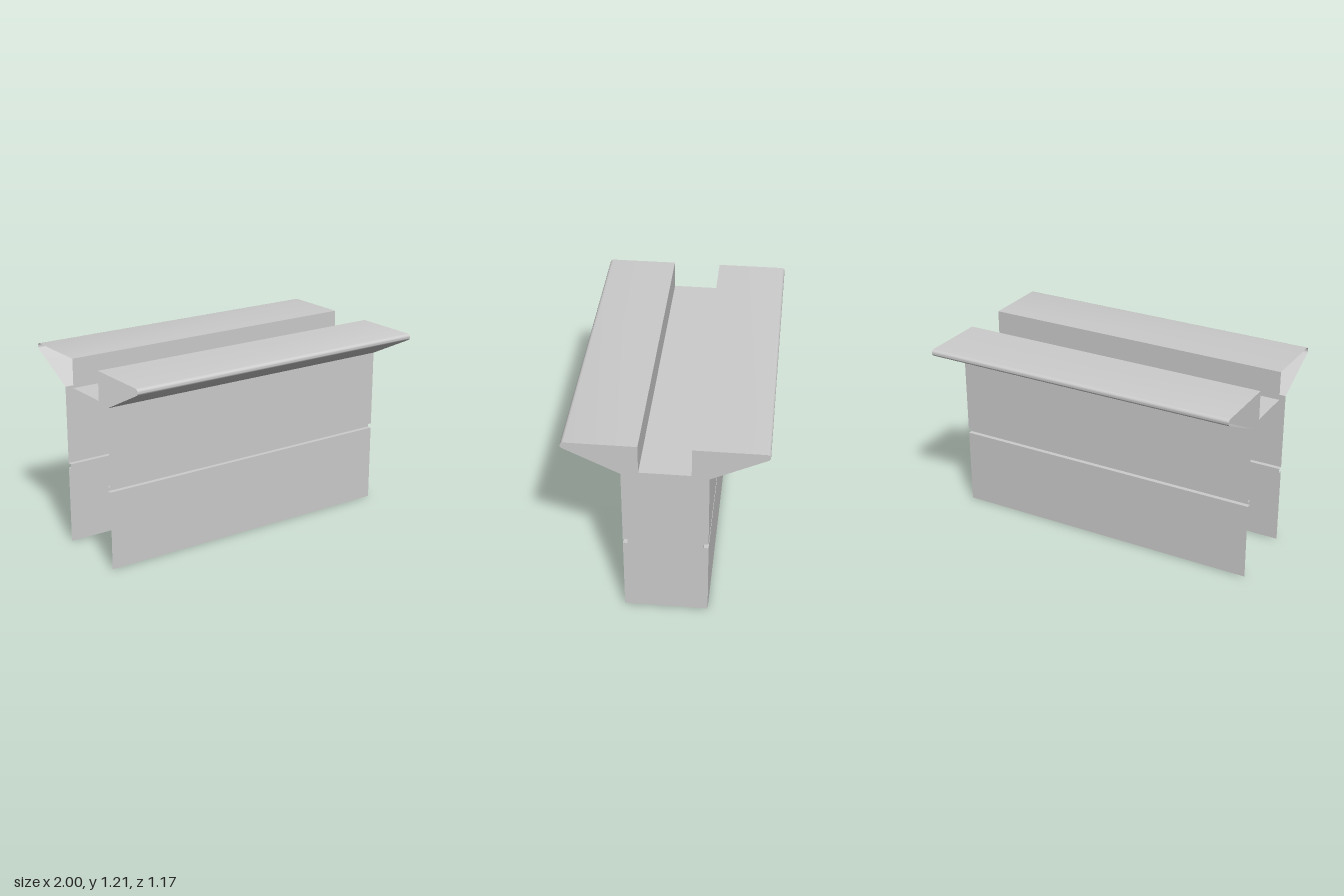
import * as THREE from 'three';
import { toCreasedNormals } from 'three/addons/utils/BufferGeometryUtils.js';

const material = new THREE.MeshStandardMaterial({ color: 0xcccccc, side: THREE.DoubleSide });
const HALF_LENGTH = 1;

// Half profile as [z, y], from the foot of the wall to the middle of the channel
const wall = [[0.25, 0], [0.25, 0.49], [0.222, 0.49], [0.222, 0.52], [0.25, 0.52], [0.25, 1.008]];
const tip = [];
for (let i = 0; i <= 6; i++) {
  const a = THREE.MathUtils.degToRad(-64 + (154 * i) / 6);
  tip.push([0.563 + 0.021 * Math.cos(a), 1.185 + 0.021 * Math.sin(a)]);
}
const wing = [wall.at(-1), ...tip, [0.15, 1.206]];
const channel = [wing.at(-1), [0.15, 1.025], [0, 1.025]];

// Open sheet swept along x from a [z, y] line
function sheet(name, line) {
  const pos = [];
  for (let i = 0; i < line.length - 1; i++) {
    const [z0, y0] = line[i], [z1, y1] = line[i + 1];
    const L = HALF_LENGTH;
    pos.push(-L, y0, z0, L, y0, z0, L, y1, z1);
    pos.push(-L, y0, z0, L, y1, z1, -L, y1, z1);
  }
  const geometry = new THREE.BufferGeometry();
  geometry.setAttribute('position', new THREE.Float32BufferAttribute(pos, 3));
  const mesh = new THREE.Mesh(toCreasedNormals(geometry, Math.PI / 5), material);
  mesh.name = name;
  return mesh;
}

export function createModel() {
  const model = new THREE.Group();
  model.name = 'channelBeam';

  // Front half, and the same half turned round for the back
  ['front', 'back'].forEach((side, i) => {
    const half = new THREE.Group();
    half.name = side + 'Half';
    half.add(
      sheet(side + 'GroovedWall', wall),
      sheet(side + 'Wing', wing),
      sheet(side + 'ChannelSide', channel)
    );
    half.rotation.y = i * Math.PI;
    model.add(half);
  });

  // Closed end on the left (+x); the other end and the underside stay open
  const half = [...wall, ...wing.slice(1), channel[1]];
  const outline = [...half, ...half.map(([z, y]) => [-z, y]).reverse()];
  const shape = new THREE.Shape(outline.map(([z, y]) => new THREE.Vector2(z, y)));
  const cap = new THREE.Mesh(new THREE.ShapeGeometry(shape).rotateY(Math.PI / 2), material);
  cap.name = 'endPlate';
  cap.position.x = HALF_LENGTH;
  model.add(cap);

  return model;
}
